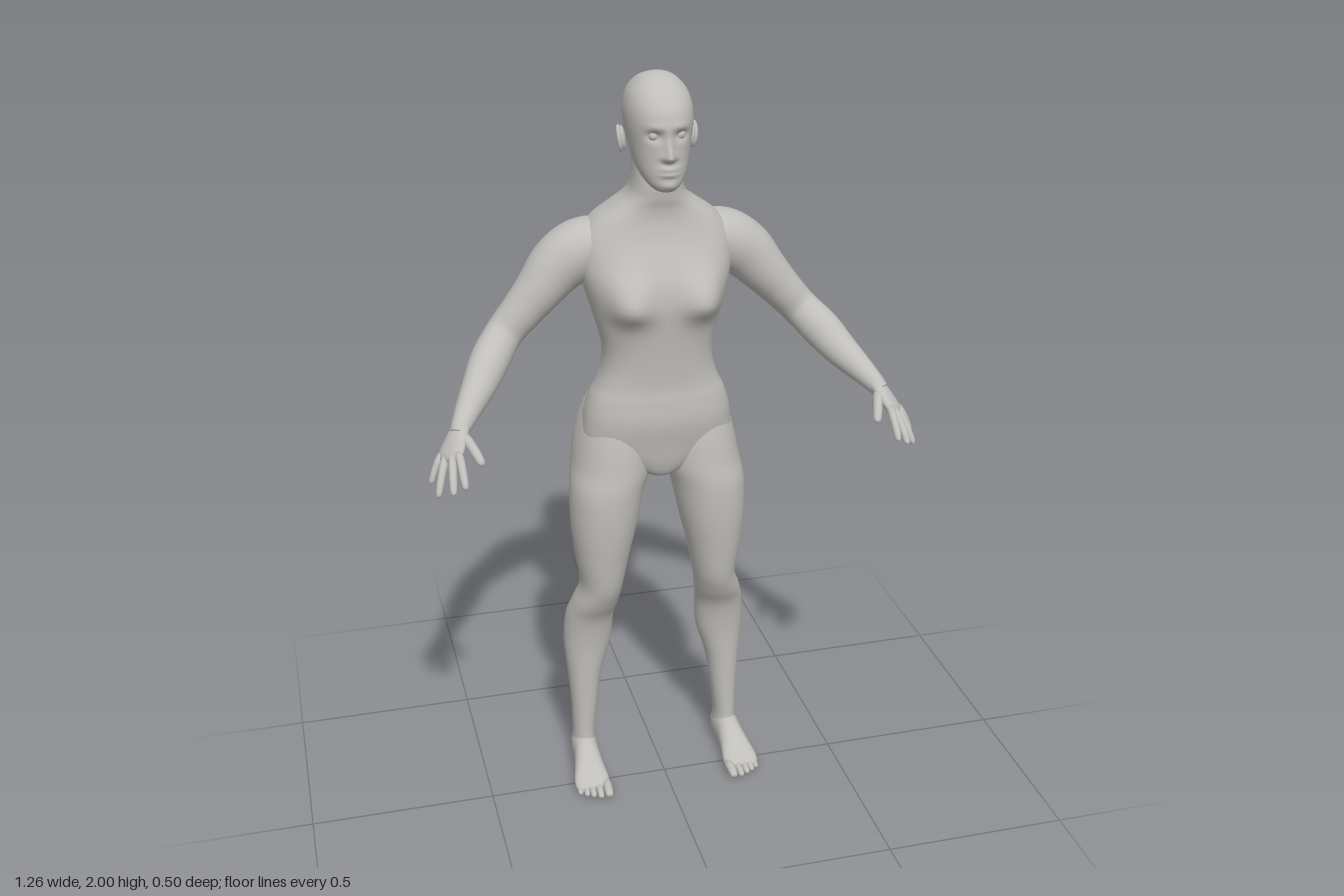
import * as THREE from 'three';

const V3 = (x, y, z) => new THREE.Vector3(x, y, z);
const UP = V3(0, 1, 0), FRONT = V3(0, 0, 1);
const skin = new THREE.MeshStandardMaterial({ color: 0xc0beba });
skin.name = 'plain grey';

const bump = (d, s) => Math.exp(-(d * d) / (s * s));
const spow = (v, e) => Math.sign(v) * Math.abs(v) ** e;

// Smooth the rows of numbers with a Catmull-Rom spline
function refine(rows, sub) {
  const out = [], last = rows.length - 1;
  for (let i = 0; i < last; i++) {
    const [p, a, b, q] = [rows[Math.max(i - 1, 0)], rows[i], rows[i + 1], rows[Math.min(i + 2, last)]];
    for (let k = 0; k < sub; k++) {
      const t = k / sub;
      out.push(a.map((_, j) => a[j] + 0.5 * t * (b[j] - p[j]
        + t * (2 * p[j] - 5 * a[j] + 4 * b[j] - q[j] + t * (3 * (a[j] - b[j]) + q[j] - p[j])))));
    }
  }
  out.push(rows[last]);
  return out;
}

// Loft rounded rings; a row is [x, y, z, radius across, radius along ref]
function loft(rows, { ref = FRONT, axis = null, n = 28, sub = 4, e = 1, warp = null }) {
  const rings = refine(rows, sub), pos = [], idx = [], m = rings.length;
  const centre = (i) => V3(...rings[Math.min(Math.max(i, 0), m - 1)].slice(0, 3));
  const add = (p) => { if (warp) warp(p); pos.push(p.x, p.y, p.z); };
  for (let i = 0; i < m; i++) {
    const T = axis || centre(i + 1).sub(centre(i - 1)).normalize();
    const v = ref.clone().addScaledVector(T, -ref.dot(T)).normalize();
    const u = v.clone().cross(T);
    for (let j = 0; j < n; j++) {
      const t = j / n * Math.PI * 2;
      add(centre(i).addScaledVector(u, Math.max(rings[i][3], 0.001) * spow(Math.cos(t), e))
        .addScaledVector(v, Math.max(rings[i][4], 0.001) * spow(Math.sin(t), e)));
    }
  }
  for (let i = 0; i < m - 1; i++) for (let j = 0; j < n; j++) {
    const a = i * n + j, b = i * n + (j + 1) % n;
    idx.push(a, b, a + n, b, b + n, a + n);
  }
  add(centre(0));
  add(centre(m - 1));
  for (let j = 0; j < n; j++) {
    const k = (j + 1) % n;
    idx.push(m * n, k, j, m * n + 1, (m - 1) * n + j, (m - 1) * n + k);
  }
  const g = new THREE.BufferGeometry();
  g.setAttribute('position', new THREE.Float32BufferAttribute(pos, 3));
  g.setIndex(idx);
  g.computeVertexNormals();
  return g;
}

// Level section: centre x, height, half width, front z, back z
const level = ([x, y, w, f, b]) => [x, y, (f + b) / 2, w, (f - b) / 2];

// Tapered digit with a rounded tip, arched upward in the middle
function digit(base, tip, r, arch) {
  const at = (t, k) => [...base.map((c, i) => c + (tip[i] - c) * t + (i === 1 ? arch * 4 * t * (1 - t) : 0)), r * k, r * k];
  return loft([at(0, 0.9), at(0.25, 1), at(0.5, 0.95), at(0.75, 0.9), at(0.92, 0.75), at(0.98, 0.45), at(1, 0.05)],
    { n: 12, sub: 3, ref: V3(1, 0, 0.3) });
}

export function createModel() {
  const model = new THREE.Group();
  model.name = 'figure';
  const add = (name, geo, parent = model) => {
    const mesh = new THREE.Mesh(geo, skin);
    mesh.name = name;
    parent.add(mesh);
    return mesh;
  };

  // Torso and neck, with chest and spine shaped by rule
  add('torso', loft([
    [0, 0.932, 0.012, -0.04, -0.1], [0, 0.945, 0.05, -0.01, -0.14], [0, 0.98, 0.12, 0.005, -0.18],
    [0, 1.03, 0.195, 0.014, -0.195], [0, 1.1, 0.197, 0.026, -0.2], [0, 1.16, 0.182, 0.024, -0.19],
    [0, 1.2, 0.163, 0.02, -0.18], [0, 1.25, 0.147, 0.022, -0.18], [0, 1.31, 0.146, 0.027, -0.187],
    [0, 1.4, 0.17, 0.036, -0.205], [0, 1.48, 0.192, 0.032, -0.222], [0, 1.54, 0.2, 0.014, -0.226],
    [0, 1.59, 0.193, -0.004, -0.222], [0, 1.635, 0.16, -0.014, -0.212], [0, 1.67, 0.112, -0.014, -0.194],
    [0, 1.7, 0.076, -0.007, -0.175], [0, 1.74, 0.063, -0.005, -0.16], [0, 1.81, 0.058, -0.02, -0.15],
  ].map(level), {
    axis: UP, n: 72, sub: 5, e: 0.84, warp: (p) => {
      if (p.z > -0.04) {
        const dy = p.y - 1.43, ax = Math.abs(p.x);
        const k = Math.min((p.z + 0.04) / 0.05, 1);
        p.z += 0.043 * k * bump(ax - 0.1, 0.06) * bump(dy, dy > 0 ? 0.075 : 0.04);
      } else if (p.z < -0.1 && p.y > 1.02 && p.y < 1.72) {
        const k = Math.min((p.y - 1.02) / 0.1, (1.72 - p.y) / 0.1, 1);
        p.z += 0.016 * k * bump(p.x, 0.022);
      }
    },
  }));

  // Head with brow, eye sockets, nose, lips and chin
  add('head', loft([
    [0, 1.726, 0.012, 0.03, 0.0], [0, 1.731, 0.028, 0.04, -0.025], [0, 1.748, 0.046, 0.047, -0.06],
    [0, 1.775, 0.061, 0.048, -0.105], [0, 1.805, 0.07, 0.047, -0.138], [0, 1.84, 0.077, 0.047, -0.163],
    [0, 1.88, 0.083, 0.05, -0.178], [0, 1.92, 0.083, 0.043, -0.183], [0, 1.955, 0.073, 0.019, -0.168],
    [0, 1.98, 0.053, -0.012, -0.14], [0, 1.994, 0.03, -0.042, -0.105], [0, 2, 0.004, -0.07, -0.078],
  ].map(level), {
    axis: UP, n: 96, sub: 8, e: 0.92, warp: (p) => {
      if (p.z < 0) return;
      const ax = Math.abs(p.x), dy = p.y - 1.815;
      p.z += 0.024 * bump(p.x, 0.009 + 0.006 * bump(dy, 0.015)) * bump(dy, dy > 0 ? 0.036 : 0.01)
        - 0.013 * bump(ax - 0.033, 0.019) * bump(p.y - 1.866, 0.013)
        + 0.004 * bump(ax - 0.03, 0.025) * bump(p.y - 1.888, 0.01)
        + 0.007 * bump(p.x, 0.022) * (bump(p.y - 1.787, 0.007) + bump(p.y - 1.773, 0.007))
        + 0.005 * bump(p.x, 0.02) * bump(p.y - 1.745, 0.012);
    },
  }));

  for (const s of [1, -1]) {
    const side = new THREE.Group();
    side.name = s > 0 ? 'leftSide' : 'rightSide';
    model.add(side);
    const flip = (rows) => rows.map(([x, ...rest]) => [x * s, ...rest]);

    // Eye and ear
    add('eye', new THREE.SphereGeometry(0.013, 20, 14), side).position.set(0.033 * s, 1.866, 0.024);
    const ear = new THREE.Group();
    ear.name = 'ear';
    ear.position.set(0.086 * s, 1.84, -0.077);
    ear.rotation.set(-0.15, 0.3 * s, -0.1 * s);
    side.add(ear);
    add('earBowl', new THREE.SphereGeometry(1, 20, 14), ear).scale.set(0.008, 0.03, 0.019);
    const rim = add('earRim', new THREE.TorusGeometry(0.02, 0.005, 10, 28), ear);
    rim.rotation.y = Math.PI / 2;
    rim.scale.set(0.8, 1.35, 1);
    rim.position.x = 0.007 * s;

    // Arm from shoulder to wrist
    add('arm', loft(flip([
      [0.1, 1.58, -0.125, 0.04, 0.05], [0.15, 1.567, -0.125, 0.068, 0.075], [0.2, 1.545, -0.123, 0.078, 0.078],
      [0.25, 1.51, -0.12, 0.074, 0.071], [0.3, 1.455, -0.112, 0.062, 0.06], [0.345, 1.405, -0.108, 0.054, 0.052],
      [0.395, 1.35, -0.1, 0.049, 0.047], [0.44, 1.303, -0.05, 0.051, 0.047], [0.475, 1.262, 0.0, 0.045, 0.041],
      [0.512, 1.225, 0.055, 0.035, 0.033], [0.54, 1.196, 0.1, 0.026, 0.026], [0.55, 1.182, 0.115, 0.022, 0.024],
    ]), { n: 32, sub: 5 }), side);

    // Hand: flat palm, four fingers and a thumb
    add('palm', loft(flip([
      [0.53, 1.208, 0.086, 0.018, 0.022], [0.545, 1.19, 0.107, 0.019, 0.028], [0.56, 1.167, 0.128, 0.018, 0.037],
      [0.574, 1.146, 0.145, 0.015, 0.04], [0.582, 1.133, 0.154, 0.011, 0.036], [0.586, 1.128, 0.158, 0.003, 0.025],
    ]), { ref: V3(-0.045 * s, 0.02, 0.05), n: 24 }), side);
    for (const [name, base, tip, r] of [
      ['littleFinger', [0.596, 1.137, 0.126], [0.628, 1.07, 0.146], 0.0095],
      ['ringFinger', [0.587, 1.138, 0.142], [0.617, 1.056, 0.198], 0.0105],
      ['middleFinger', [0.573, 1.144, 0.158], [0.584, 1.076, 0.238], 0.011],
      ['indexFinger', [0.558, 1.153, 0.168], [0.555, 1.092, 0.246], 0.011],
      ['thumb', [0.54, 1.18, 0.125], [0.507, 1.135, 0.212], 0.0135],
    ]) add(name, digit([base[0] * s, base[1], base[2]], [tip[0] * s, tip[1], tip[2]], r, 0.007), side);

    // Leg from ankle to hip, including the seat
    add('leg', loft(flip([
      [0.211, 0.03, 0.028, -0.08, -0.158], [0.211, 0.07, 0.032, -0.072, -0.165], [0.211, 0.11, 0.031, -0.075, -0.162],
      [0.207, 0.2, 0.037, -0.075, -0.162], [0.203, 0.3, 0.048, -0.073, -0.18], [0.193, 0.4, 0.066, -0.068, -0.186],
      [0.187, 0.49, 0.067, -0.052, -0.177], [0.174, 0.55, 0.063, -0.022, -0.159], [0.16, 0.61, 0.058, 0.001, -0.15],
      [0.157, 0.7, 0.073, 0.015, -0.16], [0.15, 0.8, 0.09, 0.026, -0.175], [0.139, 0.9, 0.1, 0.029, -0.192],
      [0.12, 0.965, 0.108, 0.022, -0.23], [0.109, 1.04, 0.106, 0.012, -0.25], [0.098, 1.115, 0.092, -0.005, -0.234],
      [0.085, 1.18, 0.064, -0.03, -0.19], [0.08, 1.22, 0.025, -0.07, -0.14],
    ].map(level)), { axis: UP, n: 40, sub: 5, e: 0.94 }), side);

    // Foot with a flat sole, and five toes
    add('foot', loft(flip([
      [0.211, 0.032, -0.17, 0.012, 0.018], [0.211, 0.042, -0.158, 0.028, 0.038], [0.212, 0.05, -0.12, 0.036, 0.052],
      [0.214, 0.045, -0.07, 0.036, 0.049], [0.217, 0.034, -0.02, 0.042, 0.036], [0.219, 0.023, 0.02, 0.049, 0.024],
      [0.219, 0.017, 0.045, 0.048, 0.016], [0.217, 0.015, 0.06, 0.038, 0.009],
    ]), { axis: FRONT, ref: UP, n: 32, e: 0.9, warp: (p) => { p.y = Math.max(p.y, 0); } }), side);
    [[0.183, 0.1, 0.0135], [0.206, 0.097, 0.0105], [0.225, 0.088, 0.01], [0.242, 0.078, 0.0095], [0.258, 0.066, 0.009]]
      .forEach(([x, z, r], i) => add('toe' + (i + 1),
        digit([(x - 0.002) * s, r + 0.004, z - 0.06], [x * s, r * 0.8, z], r, 0.004), side));
  }
  return model;
}
